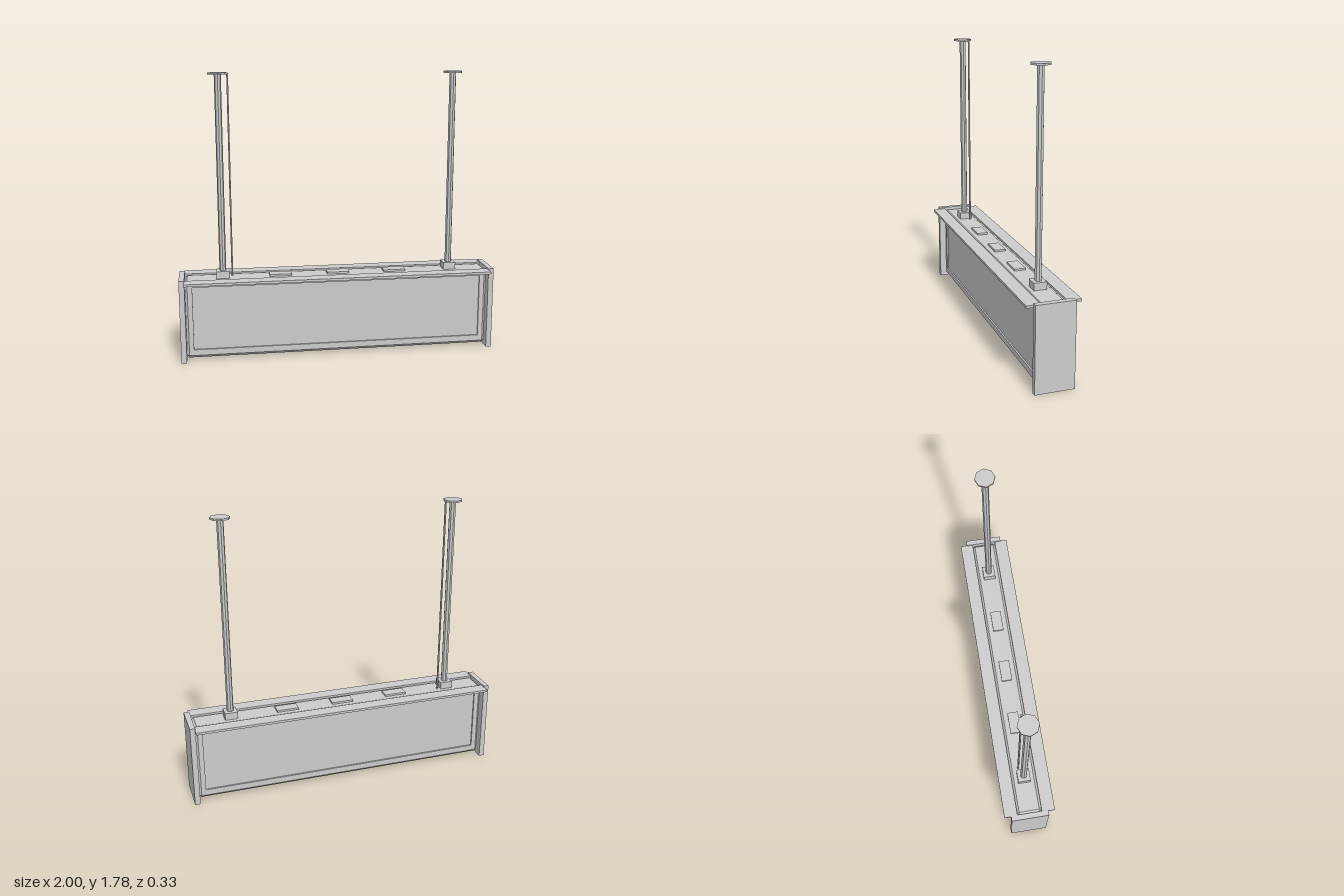
import * as THREE from 'three';

const grey = new THREE.MeshStandardMaterial({ color: 0xcccccc, flatShading: true });
grey.name = 'grey metal';

// Chamfered cabinet with a recessed panel on both faces, lofted from 8-point rings
function cabinetGeometry() {
  const c = 0.015;
  // half width, bottom, top, z, corner cut
  const front = [
    [0.92, 0.07, 0.475, 0.07, 0],
    [0.92, 0.07, 0.475, 0.08, 0],
    [0.95, 0.033, 0.5, 0.08, 0],
    [0.965, 0.016, 0.515, 0.065, c],
  ];
  const rings = [...front, ...front.slice().reverse().map(([w, b, t, z, k]) => [w, b, t, -z, k])];
  const pos = [], idx = [];
  for (const [w, b, t, z, k] of rings) {
    const pts = [
      [w - k, b], [w, b + k], [w, t - k], [w - k, t],
      [-w + k, t], [-w, t - k], [-w, b + k], [-w + k, b],
    ];
    for (const [x, y] of pts) pos.push(x, y, z);
  }
  for (let r = 0; r < rings.length - 1; r++) {
    for (let i = 0; i < 8; i++) {
      const a = r * 8 + i, b = r * 8 + (i + 1) % 8;
      idx.push(a, a + 8, b, b, a + 8, b + 8);
    }
  }
  // Close the two panels
  const last = (rings.length - 1) * 8;
  for (let i = 1; i < 7; i++) {
    idx.push(0, i, i + 1);
    idx.push(last, last + i + 1, last + i);
  }
  const g = new THREE.BufferGeometry();
  g.setAttribute('position', new THREE.Float32BufferAttribute(pos, 3));
  g.setIndex(idx);
  const flat = g.toNonIndexed();
  flat.computeVertexNormals();
  return flat;
}

export function createModel() {
  const model = new THREE.Group();
  model.name = 'hangingSign';

  const add = (name, geometry, x = 0, y = 0, z = 0) => {
    const mesh = new THREE.Mesh(geometry, grey);
    mesh.name = name;
    mesh.position.set(x, y, z);
    model.add(mesh);
    return mesh;
  };
  // Box given by its centre in x and z and its bottom and top
  const box = (name, w, d, y0, y1, x = 0, z = 0) =>
    add(name, new THREE.BoxGeometry(w, y1 - y0, d), x, (y0 + y1) / 2, z);
  const rod = (name, r, sides, y0, y1, x, z = 0) =>
    add(name, new THREE.CylinderGeometry(r, r, y1 - y0, sides), x, (y0 + y1) / 2, z);

  add('cabinet', cabinetGeometry());

  for (const s of [-1, 1]) {
    box(s > 0 ? 'leftEndCap' : 'rightEndCap', 0.034, 0.24, 0, 0.53, s * 0.983);
    box(s > 0 ? 'frontVisor' : 'backVisor', 1.94, 0.084, 0.506, 0.521, 0, s * 0.121);

    // Ceiling suspension
    const side = s > 0 ? 'left' : 'right';
    box(side + 'PoleFoot', 0.08, 0.08, 0.51, 0.56, s * 0.727);
    rod(side + 'Pole', 0.021, 8, 0.56, 1.775, s * 0.727);
    rod(side + 'CeilingDisc', 0.06, 8, 1.773, 1.784, s * 0.727);
  }

  // Power cable beside the right pole
  rod('cable', 0.006, 6, 0.51, 1.778, -0.668, -0.025);

  // Service covers on top
  for (const x of [-0.365, 0, 0.365]) box('serviceCover', 0.14, 0.07, 0.51, 0.527, x);

  return model;
}
